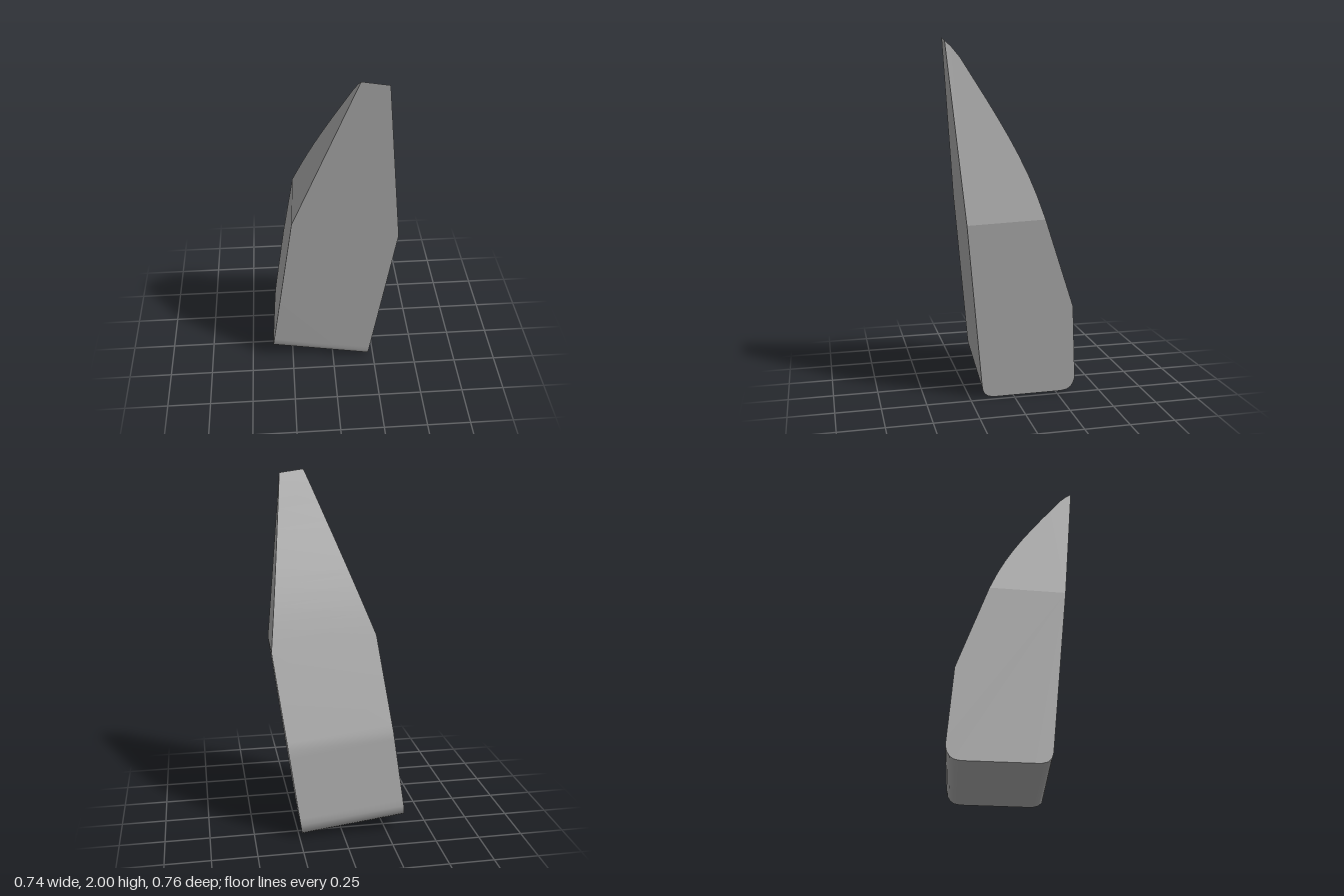
import * as THREE from 'three';
import { toCreasedNormals } from 'three/addons/utils/BufferGeometryUtils.js';

// Side profile [z, y] at the model's left flank: tip, down the back, along the base, up the front
const PROFILE = [
  [0.378, 1.98], [0.345, 1.95], [0.3, 1.895], [0.235, 1.79], [0.17, 1.685], [0.11, 1.585], [0.05, 1.48],
  [0, 1.385], [-0.05, 1.28], [-0.095, 1.17], [-0.14, 1.041],
  [-0.306, 0.571], [-0.32, 0.53], [-0.3235, 0.486],
  [-0.352, 0.13], [-0.355, 0.09], [-0.348, 0.06], [-0.334, 0.035], [-0.312, 0.019], [-0.28, 0.012], [-0.25, 0.011],
  [0.09, 0.004], [0.12, 0.004], [0.15, 0.012], [0.17, 0.03], [0.179, 0.055], [0.183, 0.085],
  [0.285, 1.02],
];
const SHOULDER = PROFILE.length - 1;
// Direction across the width, slightly rolled and turned
const ACROSS = new THREE.Vector3(0.585, -0.085, 0.025).normalize();

// Flanks lean outward below the shoulder and taper to the tip above it
function flankPair([z, y]) {
  const d = y - 1.02 + 0.05 * (z - 0.285);
  const x = 0.35 + (d < 0 ? 0.14 : -0.094) * d - 0.047 * (z - 0.285);
  const width = 0.592 - 0.466 * Math.max(d, 0);
  const left = new THREE.Vector3(x, y, z);
  return [left, left.clone().addScaledVector(ACROSS, -width)];
}

function fromTriangles(points) {
  const geometry = new THREE.BufferGeometry().setFromPoints(points);
  geometry.computeVertexNormals();
  return geometry;
}

export function createModel() {
  const group = new THREE.Group();
  group.name = 'pointedBlock';
  const grey = new THREE.MeshStandardMaterial({ color: 0xb4b4b4 });
  grey.name = 'grey';

  const pairs = PROFILE.map(flankPair);
  const n = pairs.length;
  const rim = [], leftFlank = [], rightFlank = [];
  const [shoulderLeft, shoulderRight] = pairs[SHOULDER];
  for (let i = 0; i < n; i++) {
    const j = (i + 1) % n;
    const [a, b] = pairs[i];
    const [c, d] = pairs[j];
    rim.push(a, c, d, a, d, b);
    // Flanks fan out from the front shoulder, folding along the shoulder line
    if (i !== SHOULDER && j !== SHOULDER) {
      leftFlank.push(shoulderLeft, c, a);
      rightFlank.push(shoulderRight, b, d);
    }
  }

  const add = (name, geometry) => {
    const mesh = new THREE.Mesh(geometry, grey);
    mesh.name = name;
    group.add(mesh);
  };
  add('frontBackAndBase', toCreasedNormals(fromTriangles(rim), 0.6));
  add('leftFlank', fromTriangles(leftFlank));
  add('rightFlank', fromTriangles(rightFlank));
  return group;
}
